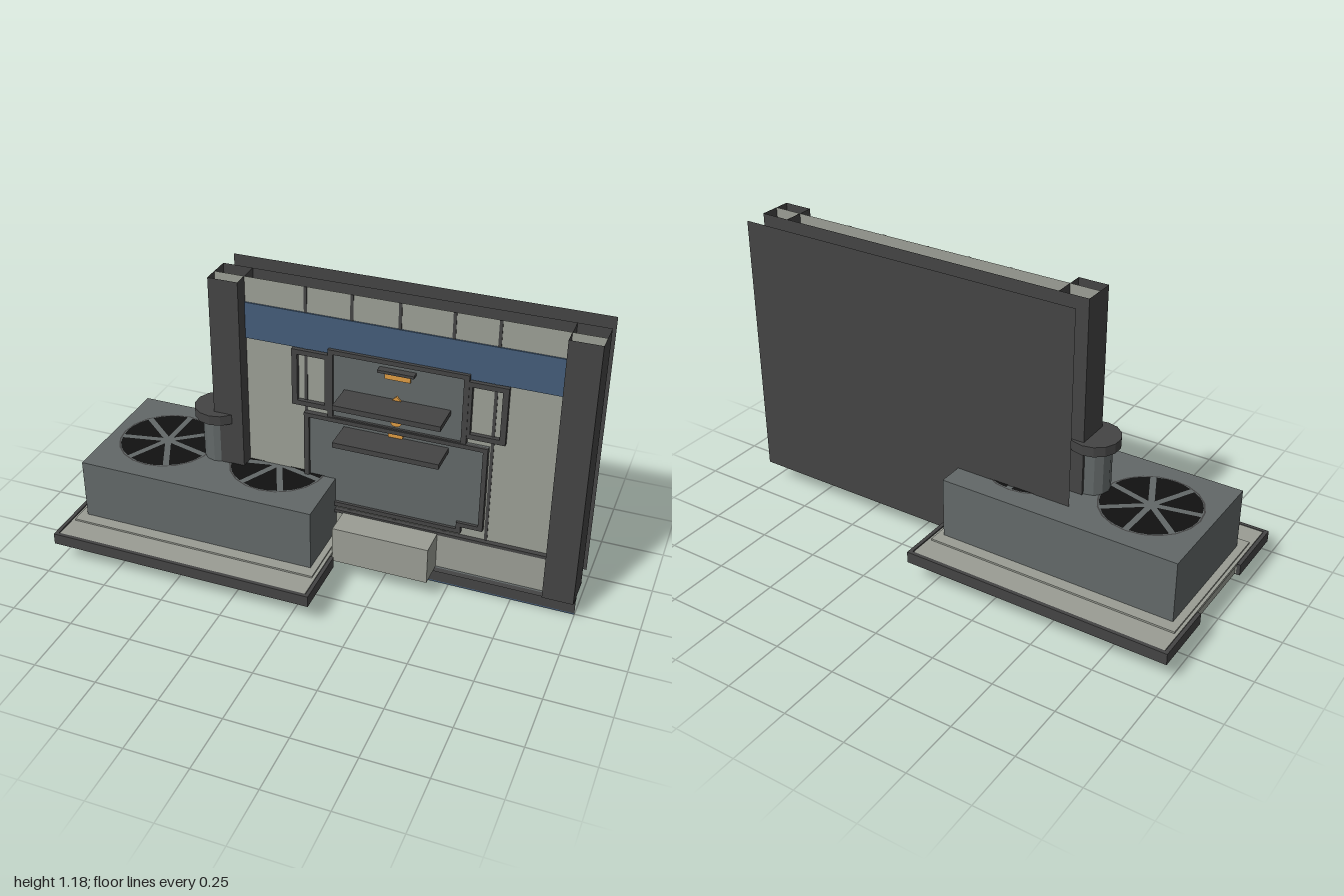
import * as THREE from 'three';

const mat = (name, color, side = THREE.FrontSide) => {
  const m = new THREE.MeshStandardMaterial({ color, side });
  m.name = name;
  return m;
};

export function createModel() {
  const root = new THREE.Group();
  root.name = 'wallAndCoolingUnit';
  const D = THREE.DoubleSide;
  const light = mat('lightGrey', 0x9a9d94, D);
  const dark = mat('charcoal', 0x444444, D);
  const steel = mat('steelGrey', 0x626868, D);
  const black = mat('black', 0x111111, D);
  const navy = mat('navy', 0x435c78, D);
  const orange = mat('orange', 0xdc9a42, D);

  const add = (name, geo, m, x = 0, y = 0, z = 0) => {
    const mesh = new THREE.Mesh(geo, m);
    mesh.name = name;
    mesh.position.set(x, y, z);
    root.add(mesh);
    return mesh;
  };
  // Box given by its limits on each axis
  const box = (name, m, x0, x1, y0, y1, z0, z1) =>
    add(name, new THREE.BoxGeometry(x1 - x0, y1 - y0, z1 - z0), m, (x0 + x1) / 2, (y0 + y1) / 2, (z0 + z1) / 2);
  // Upright sheet facing z
  const sheet = (name, m, x0, x1, y0, y1, z) =>
    add(name, new THREE.PlaneGeometry(x1 - x0, y1 - y0), m, (x0 + x1) / 2, (y0 + y1) / 2, z);
  // Upright sheet facing x
  const sideSheet = (name, m, x, y0, y1, z0, z1) => {
    const s = add(name, new THREE.PlaneGeometry(z1 - z0, y1 - y0), m, x, (y0 + y1) / 2, (z0 + z1) / 2);
    s.rotation.y = Math.PI / 2;
  };
  // Level sheet
  const floor = (name, m, x0, x1, y, z0, z1) => {
    const s = add(name, new THREE.PlaneGeometry(x1 - x0, z1 - z0), m, (x0 + x1) / 2, y, (z0 + z1) / 2);
    s.rotation.x = -Math.PI / 2;
  };
  const outline = (pts) => new THREE.Shape(pts.map(([x, y]) => new THREE.Vector2(x, y)));
  const plate = (name, m, pts, z, depth, hole) => {
    const s = outline(pts);
    if (hole) s.holes.push(outline(hole));
    add(name, new THREE.ExtrudeGeometry(s, { depth, bevelEnabled: false }), m, 0, 0, z);
  };
  const rect = (x0, x1, y0, y1) => [[x0, y0], [x1, y0], [x1, y1], [x0, y1]];

  // Wall sheets, hollow and open at the top
  const L = -0.455, R = 1, B = 0.09, T = 1.178;
  sheet('wallPanel', light, L, R, B, T, 0);
  sheet('wallBack', dark, L, R, B, T, -0.077);
  sheet('rearSheet', dark, L, R, B, T, -0.17);
  for (const [x0, x1] of [[L, -0.335], [0.88, R]]) {
    sheet('columnFront', dark, x0, x1, B, T, 0.06);
    for (const x of [x0, x1]) sideSheet('columnSide', dark, x, B, T, -0.077, 0.06);
  }
  floor('wallFloor', steel, L, R, 0.087, -0.093, 0.025);
  floor('wallFloorEdge', dark, L, R, 0.087, 0.025, 0.05);
  sheet('skirtUpper', dark, L, R, 0.03, 0.09, 0.006);
  sheet('skirtLower', dark, L, R, 0.006, 0.03, 0.003);
  sheet('skirtEdge', navy, L, R, 0, 0.006, 0.003);
  box('skirtClip', dark, 0.97, 1, 0.07, 0.082, 0, 0.03);

  // Panel seams and painted band
  for (const x of [-0.093, 0.087, 0.27, 0.47, 0.635]) box('panelSeam', dark, x - 0.006, x + 0.006, 0.25, T, 0, 0.003);
  box('paintedBand', navy, -0.335, 0.88, 0.928, 1.075, 0, 0.006);

  // Door panels with raised frames
  plate('upperDoor', steel, rect(0.01, 0.53, 0.66, 0.94), 0, 0.01);
  plate('upperDoorFrame', dark, rect(0, 0.54, 0.65, 0.95), 0, 0.02, rect(0.02, 0.52, 0.67, 0.932));
  const lower = [[-0.095, 0.27], [0.54, 0.27], [0.54, 0.3], [0.625, 0.3], [0.625, 0.665], [-0.095, 0.665]];
  const inner = [[-0.075, 0.288], [0.522, 0.288], [0.522, 0.318], [0.607, 0.318], [0.607, 0.648], [-0.075, 0.648]];
  plate('lowerDoor', steel, lower, 0.002, 0.01);
  plate('lowerDoorFrame', dark, lower, 0.002, 0.022, inner);
  for (const [x0, x1] of [[-0.145, 0.01], [0.53, 0.685]])
    plate('sideFrame', dark, rect(x0, x1, 0.69, 0.925), 0, 0.018, rect(x0 + 0.022, x1 - 0.022, 0.71, 0.905));

  // Shelves, lamp and small orange fittings
  for (const y of [0.769, 0.61]) box('shelf', dark, 0.063, 0.475, y, y + 0.021, 0.01, 0.135);
  box('lampHood', dark, 0.2, 0.34, 0.905, 0.916, 0.01, 0.04);
  box('lamp', orange, 0.222, 0.32, 0.873, 0.905, 0.01, 0.018);
  const dot = (name, y, r, sides) => {
    add(name, new THREE.CylinderGeometry(r, r, 0.008, sides), orange, 0.27, y, 0.015).rotation.x = Math.PI / 2;
  };
  dot('upperFitting', 0.785, 0.022, 4);
  dot('knob', 0.703, 0.024, 16);
  dot('lowerFitting', 0.64, 0.03, 8);
  dot('bottomFitting', 0.602, 0.018, 4);

  // Lower ledge of the wall
  box('ledgeTrim', dark, -0.335, 0.88, 0.237, 0.25, 0, 0.02);
  box('ledgePanel', light, 0.45, 0.88, B, 0.237, 0, 0.02);
  box('ledgeBox', light, 0.065, 0.45, B, 0.242, 0, 0.135);

  // Platform: light deck, dark channel beams front and back
  const X0 = -1, X1 = 0.085;
  box('deck', light, X0 + 0.018, X1 - 0.018, 0.122, 0.134, -0.42, 0.42);
  box('deckRaised', light, X0 + 0.03, X1 - 0.03, 0.134, 0.141, -0.32, 0.32);
  for (const x of [X0 + 0.02, X1 - 0.02]) sideSheet('deckEnd', light, x, B, 0.134, -0.17, 0.17);
  for (const s of [-1, 1]) {
    const span = (name, m, x0, x1, y0, y1, a, b) =>
      box(name, m, x0, x1, y0, y1, Math.min(s * a, s * b), Math.max(s * a, s * b));
    span('beamOuter', dark, X0, X1, B, 0.136, 0.42, 0.435);
    span('beamEndLeft', dark, X1 - 0.015, X1, B, 0.136, 0.17, 0.435);
    span('beamEndRight', dark, X0, X0 + 0.015, B, 0.136, 0.17, 0.435);
    span('beamOuterLip', dark, X0, X1, B, 0.096, 0.36, 0.435);
    span('beamInnerLip', dark, X0, X1, B, 0.096, 0.17, 0.25);
    span('beamInner', light, X0 + 0.015, X1 - 0.015, B, 0.125, 0.17, 0.18);
  }

  // Cooling unit with two fans
  box('unitBody', steel, -0.94, 0.03, 0.135, 0.388, -0.272, 0.272);
  for (const cx of [-0.7, -0.212]) {
    const rim = add('fanRim', new THREE.RingGeometry(0.192, 0.198, 20), dark, cx, 0.39, 0);
    rim.rotation.x = -Math.PI / 2;
    const n = 7;
    for (let i = 0; i < n; i++) {
      // Wedge moved outward so that even gaps remain between blades
      const a = (i / n) * Math.PI * 2 + 0.2, half = Math.PI / n;
      const blade = add('fanBlade', new THREE.CircleGeometry(0.163, 4, a - half, 2 * half), black,
        cx + Math.cos(a) * 0.027, 0.3905, -Math.sin(a) * 0.027);
      blade.rotation.x = -Math.PI / 2;
    }
  }

  // Vent pipe with cap
  const facet = (r, h, n) => {
    const g = new THREE.CylinderGeometry(r, r, h, n).toNonIndexed();
    g.computeVertexNormals();
    return g;
  };
  add('ventPipe', facet(0.067, 0.19, 12), steel, -0.459, 0.48, 0);
  add('ventCap', facet(0.099, 0.04, 14), dark, -0.459, 0.591, 0);
  box('capStud', dark, -0.455, -0.43, 0.611, 0.614, 0, 0.018);

  return root;
}
